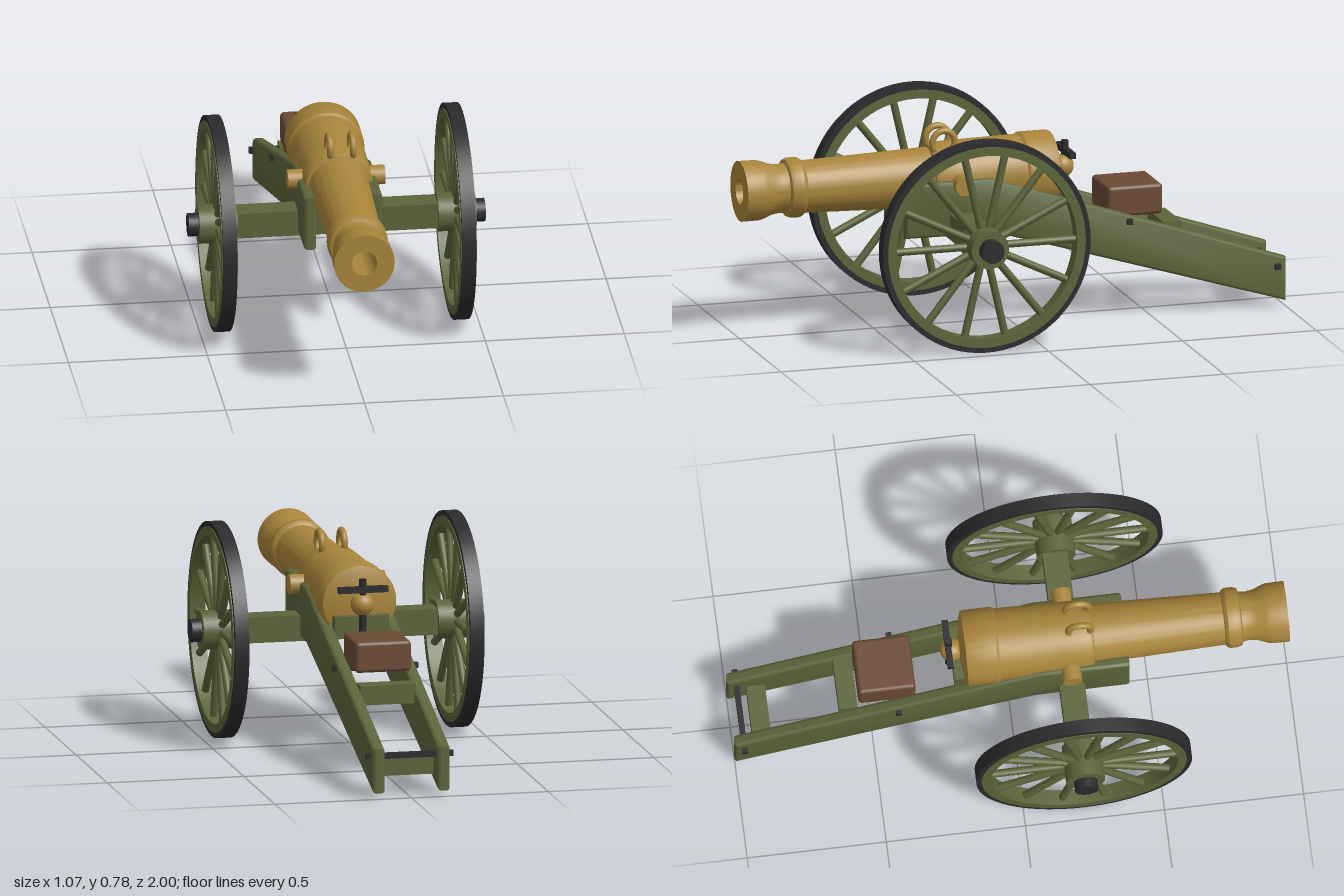
import * as THREE from 'three';
import { toCreasedNormals } from 'three/addons/utils/BufferGeometryUtils.js';
import { RoundedBoxGeometry } from 'three/addons/geometries/RoundedBoxGeometry.js';

const material = (name, color) => {
  const m = new THREE.MeshStandardMaterial({ color });
  m.name = name;
  return m;
};

export function createModel() {
  const bronze = material('bronze', 0xa9853b);
  const green = material('green paint', 0x5b643a);
  const iron = material('dark iron', 0x2b2b2d);
  const wood = material('brown wood', 0x6b4a35);

  const model = new THREE.Group();
  model.name = 'fieldCannon';

  const add = (name, geometry, mat, x = 0, y = 0, z = 0, parent = model) => {
    const mesh = new THREE.Mesh(geometry, mat);
    mesh.name = name;
    mesh.position.set(x, y, z);
    parent.add(mesh);
    return mesh;
  };
  const box = (w, h, d) => new THREE.BoxGeometry(w, h, d);
  const rodX = (r, length, sides = 32) =>
    new THREE.CylinderGeometry(r, r, length, sides).rotateZ(-Math.PI / 2);
  // profile pairs are [radius, distance along axis]
  const lathe = (profile, sides = 64) => toCreasedNormals(
    new THREE.LatheGeometry(profile.map(([r, a]) => new THREE.Vector2(r, a)), sides), 0.5);

  // Barrel
  const axisY = 0.543;
  const barrel = new THREE.Group();
  barrel.name = 'barrel';
  barrel.position.y = axisY;
  model.add(barrel);
  add('barrelBody', lathe([
    [0, -0.18], [0.06, -0.175], [0.11, -0.168], [0.133, -0.16], [0.137, -0.15],
    [0.137, -0.05], [0.13, -0.04], [0.126, 0.2], [0.124, 0.285], [0.118, 0.297],
    [0.108, 0.3], [0.094, 0.77], [0.102, 0.775], [0.108, 0.785], [0.108, 0.815],
    [0.102, 0.83], [0.09, 0.835], [0.087, 0.86], [0.092, 0.89], [0.104, 0.92],
    [0.108, 0.935], [0.109, 1], [0.046, 1], [0.046, 0.8], [0, 0.8],
  ]).rotateX(Math.PI / 2), bronze, 0, 0, 0, barrel);
  add('trunnions', rodX(0.035, 0.35), bronze, 0, 0, 0.21, barrel);
  add('breechNeck', new THREE.CylinderGeometry(0.022, 0.022, 0.05, 24).rotateX(Math.PI / 2),
    bronze, 0, 0, -0.18, barrel);
  add('breechKnob', new THREE.SphereGeometry(0.042, 32, 20), bronze, 0, 0.004, -0.205, barrel);
  for (const x of [-0.03, 0.052]) {
    add('liftingHandle', new THREE.TorusGeometry(0.042, 0.012, 12, 40).rotateY(Math.PI / 2),
      bronze, x, 0.137, 0.253, barrel);
  }

  // Elevating screw with its cross handle
  add('elevatingScrew', new THREE.CylinderGeometry(0.013, 0.013, 0.22, 16), iron, 0, 0.53, -0.215);
  add('screwHandle', box(0.18, 0.022, 0.022), iron, 0, 0.602, -0.218);

  // Carriage cheeks
  const cheekShape = new THREE.Shape([
    [0.42, 0.355], [0.42, 0.555], [0.1, 0.555], [-0.16, 0.467], [-1, 0.183],
    [-1, 0.022], [-0.16, 0.28], [0.08, 0.352],
  ].map(([z, y]) => new THREE.Vector2(z, y)));
  const cheekGeometry = toCreasedNormals(new THREE.ExtrudeGeometry(cheekShape, {
    depth: 0.018, bevelEnabled: true, bevelThickness: 0.014, bevelSize: 0.014,
    bevelOffset: -0.014, bevelSegments: 4,
  }).translate(0, 0, -0.009).rotateY(-Math.PI / 2), 0.6);
  for (const side of [-1, 1]) add('cheek', cheekGeometry, green, side * 0.119);

  // Cross members and axle
  add('tailTransom', box(0.2, 0.07, 0.067), green, 0, 0.106, -0.897);
  add('middleTransom', box(0.2, 0.07, 0.067), green, 0, 0.3, -0.587);
  add('breechTransom', box(0.2, 0.08, 0.05), green, 0, 0.462, -0.18);
  add('axle', box(0.74, 0.094, 0.09), green, 0, 0.39, 0.212);
  add('tailBolt', box(0.318, 0.02, 0.02), iron, 0, 0.152, -0.965);
  add('middleBolt', box(0.312, 0.02, 0.02), iron, 0, 0.36, -0.412);

  // Ammunition chest
  add('chest', new RoundedBoxGeometry(0.204, 0.112, 0.206, 3, 0.014), wood, 0, 0.423, -0.448);

  // Wheels
  const ring = (inner, outer, half) => lathe([
    [inner, -half], [outer, -half], [outer, half], [inner, half], [inner, -half],
  ], 72).rotateZ(-Math.PI / 2);
  const tire = ring(0.366, 0.388, 0.0255);
  const rim = ring(0.337, 0.369, 0.0285);
  const spoke = new THREE.CylinderGeometry(0.014, 0.014, 0.3, 12).translate(0, 0.2, 0);
  const spokes = 14;
  for (const side of [-1, 1]) {
    const wheel = new THREE.Group();
    wheel.name = side > 0 ? 'leftWheel' : 'rightWheel';
    wheel.position.set(side * 0.43, 0.389, 0.217);
    model.add(wheel);
    add('tire', tire, iron, 0, 0, 0, wheel);
    add('rim', rim, green, 0, 0, 0, wheel);
    add('hub', rodX(0.07, 0.137), green, 0, 0, 0, wheel);
    add('hubCap', rodX(0.042, 0.06), iron, side * 0.074, 0, 0, wheel);
    for (let i = 0; i < spokes; i++) {
      add('spoke', spoke, green, 0, 0, 0, wheel).rotation.x =
        Math.PI / 2 + (i * 2 * Math.PI) / spokes;
    }
  }

  return model;
}
